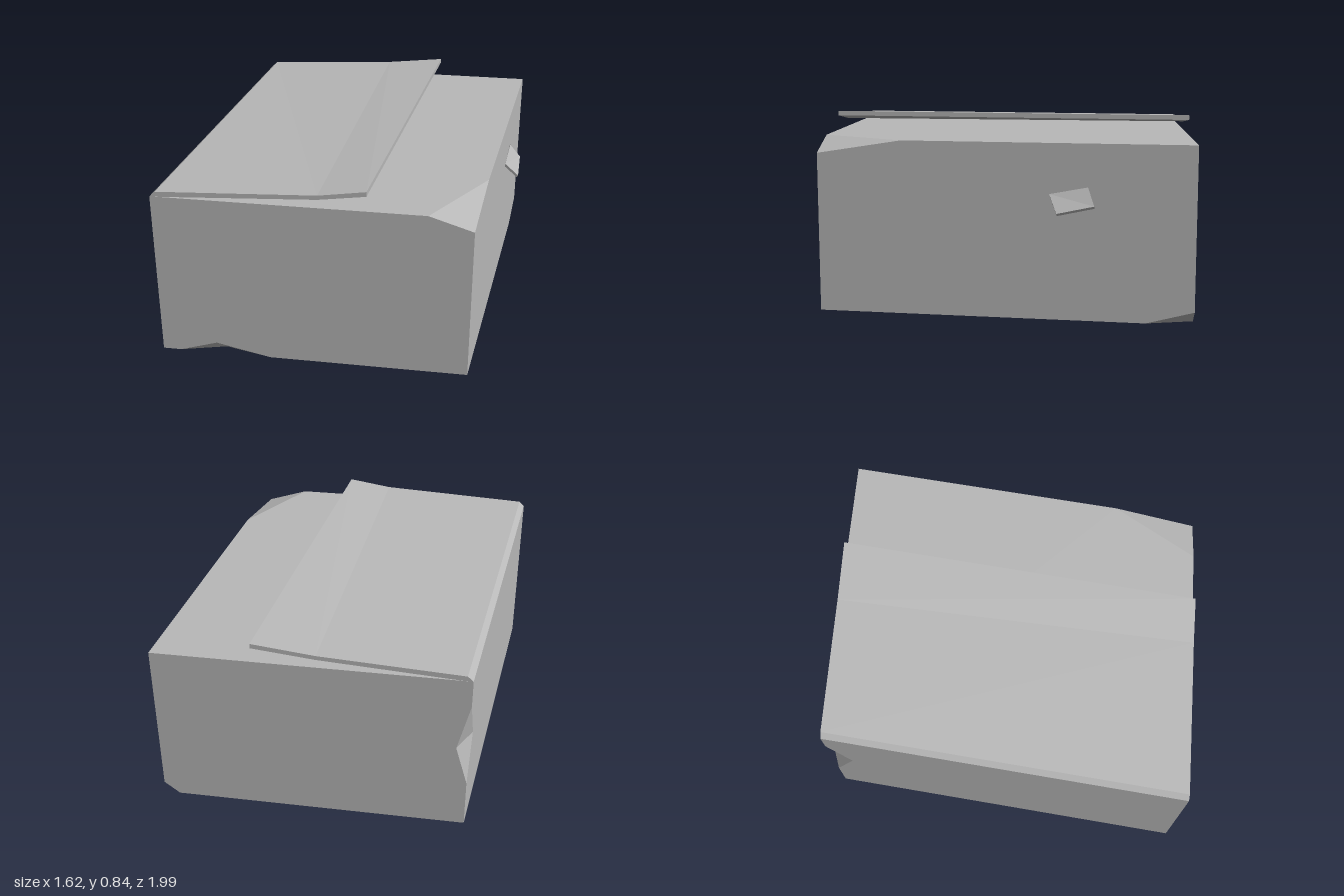
import * as THREE from 'three';

const H = 0.755; // body height

// Plan corners as [x, z]: back left, back right, front right, front left
const A = [-0.81, -0.597], B = [0.475, -1.0], C = [0.81, 0.588], D = [-0.475, 0.993];

// Point a fraction t along a plan edge, at height y
const on = (p, q, t, y) =>
  new THREE.Vector3(p[0] + (q[0] - p[0]) * t, y, p[1] + (q[1] - p[1]) * t);

// Flat-shaded geometry from polygons listed counter-clockwise from outside
function fromPolygons(polygons) {
  const pos = [];
  for (const poly of polygons) {
    const n = new THREE.Vector3();
    poly.forEach((p, i) => n.add(new THREE.Vector3().crossVectors(p, poly[(i + 1) % poly.length])));
    n.normalize();
    const u = poly[1].clone().sub(poly[0]).projectOnPlane(n).normalize();
    const v = new THREE.Vector3().crossVectors(n, u);
    const flat = poly.map((p) => new THREE.Vector2(p.dot(u), p.dot(v)));
    for (const tri of THREE.ShapeUtils.triangulateShape(flat, [])) {
      for (const i of tri) pos.push(poly[i].x, poly[i].y, poly[i].z);
    }
  }
  const g = new THREE.BufferGeometry();
  g.setAttribute('position', new THREE.Float32BufferAttribute(pos, 3));
  g.computeVertexNormals();
  return g;
}

// Solid between two matching loops
function loft(front, back) {
  const sides = front.map((p, i) => {
    const j = (i + 1) % front.length;
    return [p, back[i], back[j], front[j]];
  });
  return fromPolygons([front, [...back].reverse(), ...sides]);
}

function bodyGeometry() {
  const a0 = on(A, B, 0, 0), a1 = on(A, B, 0, H), b1 = on(B, C, 0, H);
  const c0 = on(C, D, 0, 0), d0 = on(D, A, 0, 0), d1 = on(D, A, 0, H);
  // chipped front right top corner
  const c1 = on(C, D, 0, 0.695), k1 = on(D, C, 0.86, H), k2 = on(B, C, 0.77, H);
  // chipped back right bottom corner
  const bLow = on(B, C, 0, 0.055), f1 = on(B, C, 0.125, 0), f2 = on(B, A, 0.05, 0);
  // nick in the back left upright edge
  const aLow = on(A, B, 0, 0.225), aHigh = on(A, B, 0, 0.63);
  const p = on(A, B, 0.039, 0.41), q = on(A, D, 0.06, 0.43);
  // nick in the front bottom edge
  const e1 = on(D, C, 0.06, 0), e2 = on(D, C, 0.36, 0), n = on(D, C, 0.182, 0.052);
  const r = new THREE.Vector3(-0.227, 0, 0.86);
  return fromPolygons([
    [a1, d1, k1, k2, b1],                   // top
    [d0, e1, n, e2, c0, c1, k1, d1],        // front
    [c0, f1, bLow, b1, k2, c1],             // right
    [bLow, f2, a0, aLow, p, aHigh, a1, b1], // back
    [a0, d0, d1, a1, aHigh, q, aLow],       // left
    [a0, f2, f1, c0, e2, r, e1, d0],        // bottom
    [k1, c1, k2], [bLow, f1, f2],           // corner chips
    [p, aLow, q], [aHigh, p, q],            // upright nick
    [n, e1, r], [e2, n, r],                 // bottom nick
  ]);
}

function lidGeometry() {
  // [fraction along front edge, fraction along back edge, height]
  const profile = [
    [0, 0, 0.755], [0.035, 0.035, 0.756], [0.525, 0.475, 0.793], [0.674, 0.677, 0.822],
    [0.674, 0.677, 0.843], [0.525, 0.475, 0.812], [0.018, 0.018, 0.778],
  ];
  return loft(
    profile.map(([f, , y]) => on(D, C, f, y)),
    profile.map(([, b, y]) => on(A, B, b, y)),
  );
}

function tabGeometry() {
  const outer = [
    [0.602, 0.54, -0.4], [0.655, 0.467, -0.45], [0.612, 0.5, -0.6], [0.57, 0.572, -0.56],
  ].map((c) => new THREE.Vector3(...c));
  const offset = new THREE.Vector3(-0.007, -0.01, 0);
  return loft(outer, outer.map((c) => c.clone().add(offset)));
}

export function createModel() {
  const grey = new THREE.MeshStandardMaterial({ color: 0xb8b8b8 });
  grey.name = 'plain grey';
  const model = new THREE.Group();
  model.name = 'box';
  const parts = { body: bodyGeometry(), lidFlap: lidGeometry(), sideTab: tabGeometry() };
  for (const [name, geometry] of Object.entries(parts)) {
    const mesh = new THREE.Mesh(geometry, grey);
    mesh.name = name;
    model.add(mesh);
  }
  return model;
}
